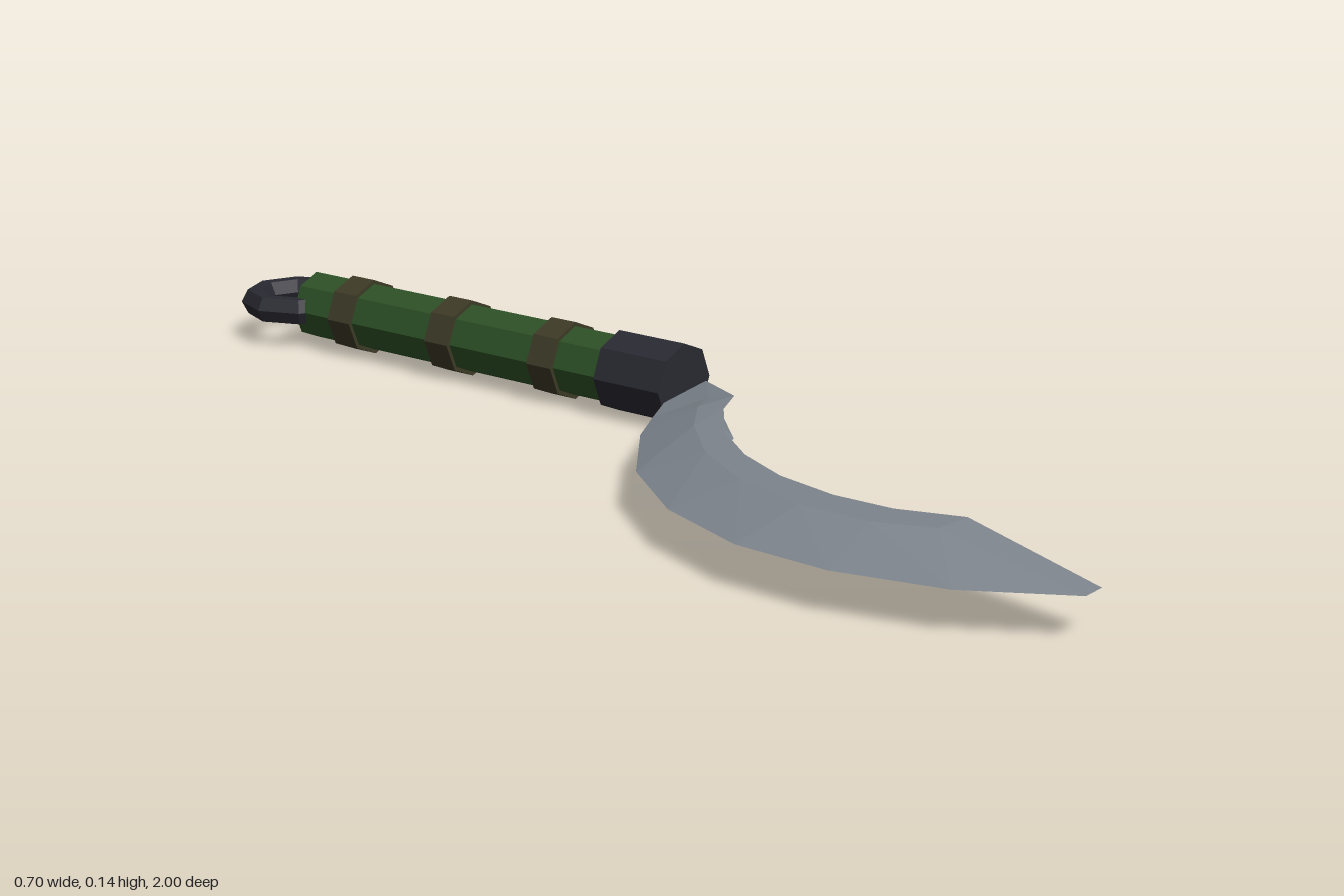
import * as THREE from 'three';

const mat = (name, color) => {
  const m = new THREE.MeshStandardMaterial({ color, flatShading: true });
  m.name = name;
  return m;
};

// Curved blade: sharp outer edge, bevel to a ridge, thick grooved inner edge
function bladeGeometry() {
  const outer = [[0.287, -0.005], [0.143, 0.02], [0.07, 0.055], [-0.02, 0.1], [-0.17, 0.21],
    [-0.28, 0.355], [-0.343, 0.52], [-0.35, 0.68], [-0.31, 0.85], [-0.22, 1]];
  const inner = [[0.287, -0.005], [0.148, 0.155], [0.08, 0.185], [-0.018, 0.26], [-0.09, 0.35],
    [-0.14, 0.45], [-0.165, 0.56], [-0.163, 0.66], [-0.13, 0.76], [-0.178, 1]];
  const last = outer.length - 1, midY = 0.07, half = 0.035;
  const pos = [], index = [];
  outer.forEach(([ox, oz], i) => {
    const [ix, iz] = inner[i];
    const at = (t) => [ox + (ix - ox) * t, oz + (iz - oz) * t];
    const [mx, mz0] = at(0.64);
    const [gx, gz] = at(0.68);
    const mz = i < last ? Math.min(mz0, 0.755) : mz0;
    const end = i === 0 || i === last;
    const hi = end ? 0 : half;
    const hm = end ? 0 : half * Math.min(1, mz / 0.155);
    pos.push(ox, midY, oz, mx, midY + hm, mz, ix, midY + hi, iz,
      gx, midY, gz, ix, midY - hi, iz, mx, midY - hm, mz);
  });
  for (let s = 0; s < last; s++) {
    for (let k = 0; k < 6; k++) {
      const a = s * 6 + k, b = s * 6 + (k + 1) % 6, c = a + 6, d = b + 6;
      index.push(a, c, b, b, c, d);
    }
  }
  const g = new THREE.BufferGeometry();
  g.setAttribute('position', new THREE.Float32BufferAttribute(pos, 3));
  g.setIndex(index);
  const flat = g.toNonIndexed();
  flat.computeVertexNormals();
  return flat;
}

export function createModel() {
  const group = new THREE.Group();
  const steel = mat('steel', 0x7d848c);
  const green = mat('green grip', 0x2d5026);
  const brown = mat('brown wrap', 0x3d3a26);
  const dark = mat('dark metal', 0x292932);
  const X = 0.2475, Y = 0.07;

  const add = (name, geometry, material) => {
    const mesh = new THREE.Mesh(geometry, material);
    mesh.name = name;
    group.add(mesh);
    return mesh;
  };
  // Eight-sided bar along z
  const bar = (name, radius, z0, z1, material) => {
    const g = new THREE.CylinderGeometry(radius, radius, z1 - z0, 8);
    g.rotateX(Math.PI / 2);
    add(name, g, material).position.set(X, Y, (z0 + z1) / 2);
  };

  add('blade', bladeGeometry(), steel);
  bar('collar', 0.069, -0.155, -0.02, dark);
  bar('grip', 0.06, -0.85, -0.15, green);
  [-0.275, -0.505, -0.735].forEach((z, i) => bar('gripBand' + (i + 1), 0.067, z - 0.026, z + 0.026, brown));

  // Pommel ring
  const ring = new THREE.TorusGeometry(0.079, 0.022, 6, 8);
  ring.scale(1, 1, 1.15);
  ring.rotateX(Math.PI / 2);
  add('pommelRing', ring, dark).position.set(X, Y, -0.899);

  return group;
}
